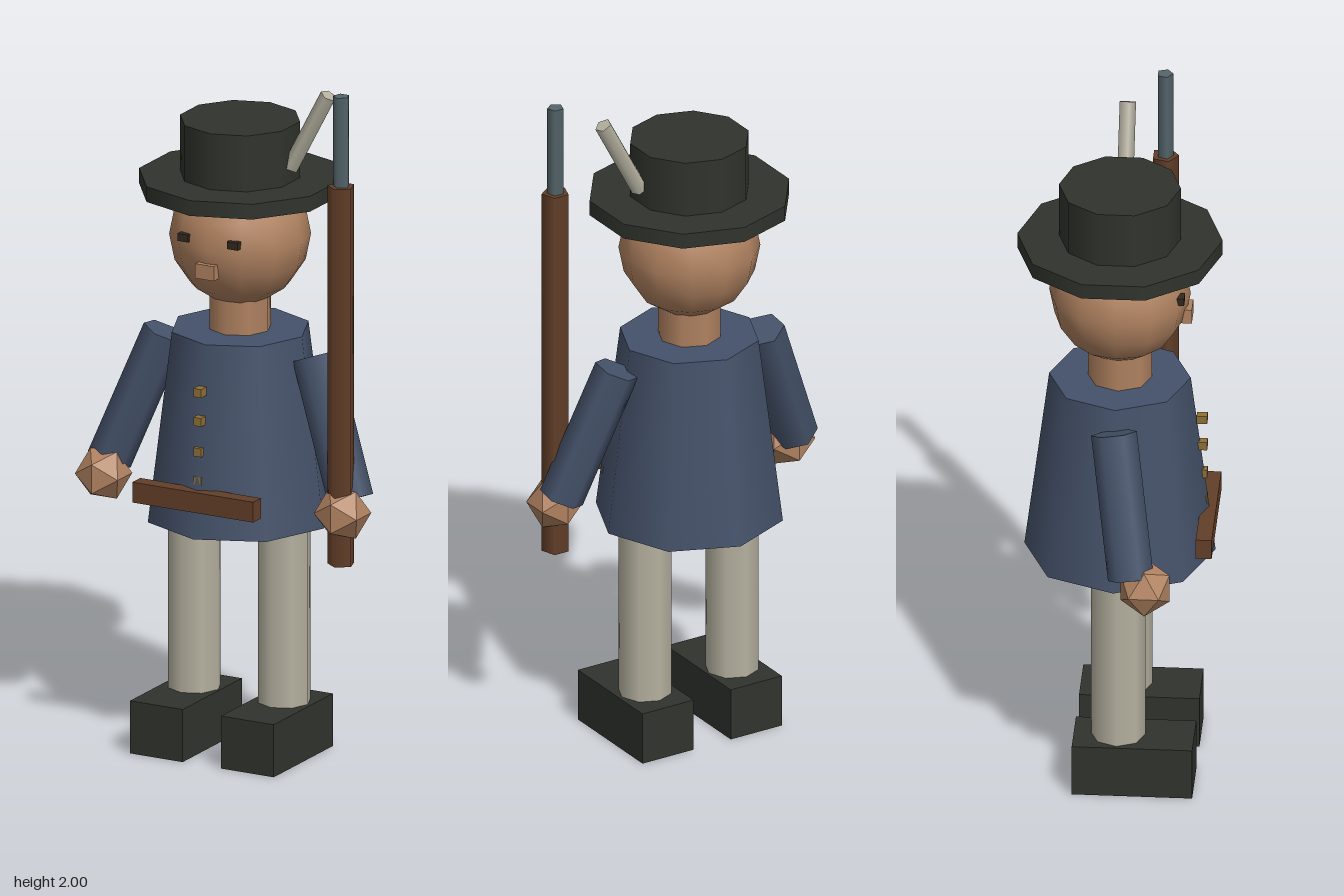
import * as THREE from 'three';

const mat = (color, flatShading = false) => new THREE.MeshStandardMaterial({ color, flatShading });

export function createModel() {
  const group = new THREE.Group();
  const coat = mat(0x45526a), skin = mat(0xb08260), skinFlat = mat(0xb08260, true);
  const cloth = mat(0xb5b1a0), black = mat(0x30332d), wood = mat(0x633f29);
  const steel = mat(0x54656b), brass = mat(0x8f7038), dark = mat(0x33291f);

  const add = (name, geometry, material, x, y, z) => {
    const mesh = new THREE.Mesh(geometry, material);
    mesh.name = name;
    mesh.position.set(x, y, z);
    group.add(mesh);
    return mesh;
  };
  const box = (name, w, h, d, material, x, y, z) =>
    add(name, new THREE.BoxGeometry(w, h, d), material, x, y, z);
  // Upright cylinder between two heights
  const post = (name, rTop, rBottom, y0, y1, sides, material, x = 0, z = 0) =>
    add(name, new THREE.CylinderGeometry(rTop, rBottom, y1 - y0, sides), material, x, (y0 + y1) / 2, z);
  // Cylinder running from point a up to point b
  const rod = (name, a, b, r, sides, material) => {
    const from = new THREE.Vector3(...a), to = new THREE.Vector3(...b);
    const dir = to.clone().sub(from);
    const mid = from.add(to).multiplyScalar(0.5);
    const mesh = add(name, new THREE.CylinderGeometry(r, r, dir.length(), sides), material, mid.x, mid.y, mid.z);
    mesh.quaternion.setFromUnitVectors(new THREE.Vector3(0, 1, 0), dir.normalize());
  };

  // Torso, neck and head
  post('coat', 0.2, 0.27, 0.68, 1.235, 8, coat);
  post('neck', 0.09, 0.09, 1.18, 1.36, 8, skin);
  add('head', new THREE.SphereGeometry(0.2, 12, 8), skin, 0, 1.51, 0);
  box('nose', 0.06, 0.043, 0.05, skin, 0, 1.45, 0.18);

  // Hat with plume
  post('hatBrim', 0.29, 0.29, 1.64, 1.685, 10, black);
  post('hatCrown', 0.172, 0.172, 1.685, 1.85, 10, black);
  rod('plume', [0.165, 1.73, 0], [0.287, 1.96, 0], 0.025, 5, cloth);

  // Coat front
  for (const y of [1.105, 1.02, 0.93, 0.845]) box('button', 0.025, 0.025, 0.03, brass, 0, y, 0.232);
  box('belt', 0.39, 0.06, 0.045, wood, 0, 0.79, 0.25);

  // Paired parts
  for (const s of [-1, 1]) {
    const side = s > 0 ? 'left' : 'right';
    box(side + 'Eye', 0.034, 0.022, 0.03, dark, s * 0.08, 1.535, 0.173);
    rod(side + 'Arm', [s * 0.39, 0.8, 0.058], [s * 0.242, 1.185, 0], 0.065, 6, coat);
    add(side + 'Hand', new THREE.IcosahedronGeometry(0.081, 0), skinFlat, s * 0.386, 0.77, 0.098);
    post(side + 'Leg', 0.077, 0.077, 0.12, 0.72, 8, cloth, s * 0.145, 0.005);
    box(side + 'Shoe', 0.17, 0.155, 0.34, black, s * 0.147, 0.0775, 0.05);
  }

  // Musket held upright in the left hand
  post('musketStock', 0.04, 0.04, 0.62, 1.735, 5, wood, 0.383, 0.1);
  post('musketBarrel', 0.024, 0.024, 1.7, 2.0, 5, steel, 0.383, 0.1);

  return group;
}
